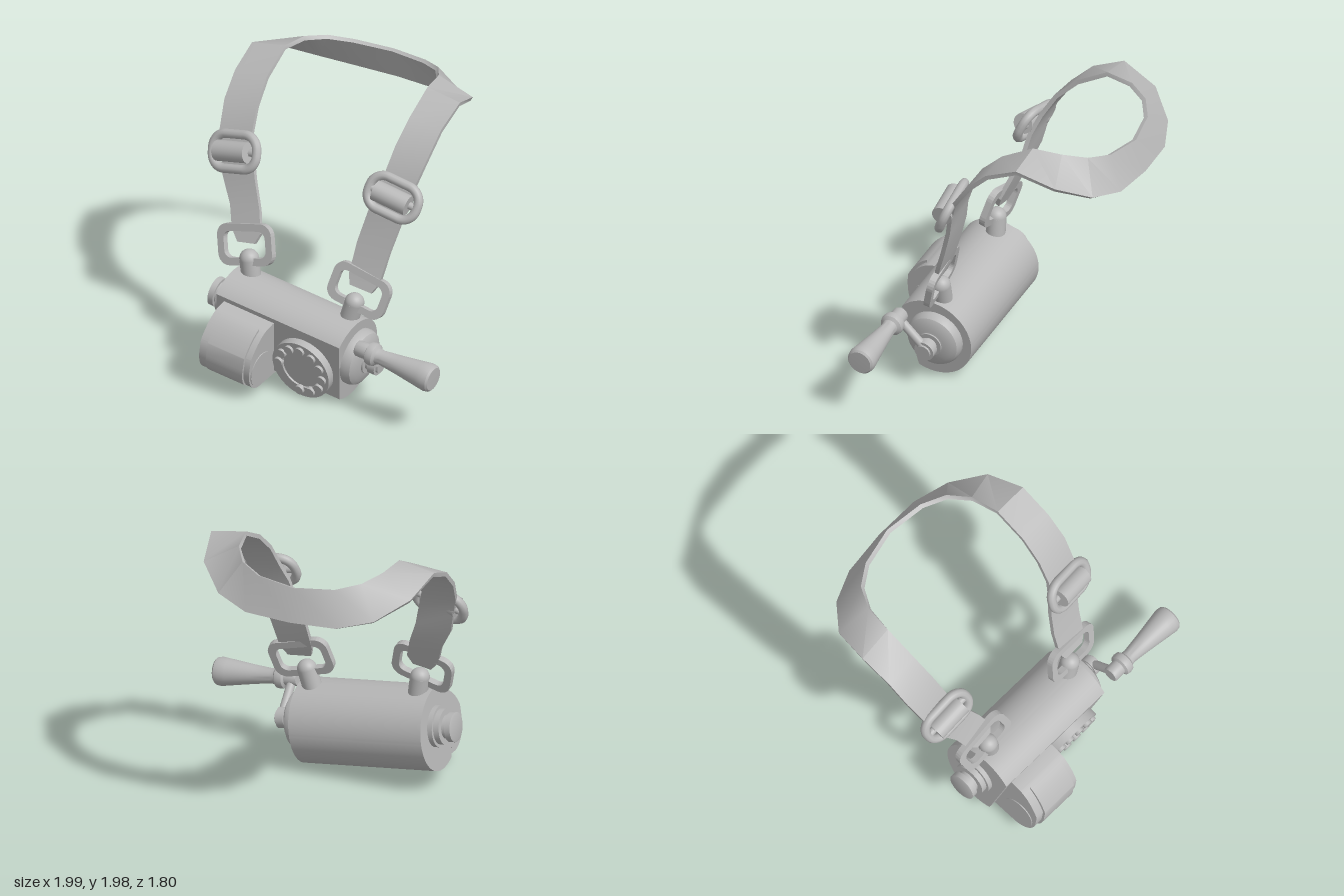
import * as THREE from 'three';
import { toCreasedNormals } from 'three/addons/utils/BufferGeometryUtils.js';

const grey = new THREE.MeshStandardMaterial({ color: 0xb8b8b8 });
grey.name = 'plain grey';

const V = (x, y, z) => new THREE.Vector3(x, y, z);

function add(parent, name, geometry, position = [0, 0, 0], rotation = [0, 0, 0]) {
  const mesh = new THREE.Mesh(geometry, grey);
  mesh.name = name;
  mesh.position.set(...position);
  mesh.rotation.set(...rotation);
  parent.add(mesh);
  return mesh;
}

// turned part: pairs of [radius, height]
function turned(profile, sides = 32) {
  const pts = profile.map(([r, h]) => new THREE.Vector2(r, h));
  return toCreasedNormals(new THREE.LatheGeometry(pts, sides), 0.6);
}

// side profile (z, y) pulled to a width along x, centred
function sideExtrude(shape, width) {
  const g = new THREE.ExtrudeGeometry(shape, { depth: width, bevelEnabled: false, curveSegments: 48 });
  g.translate(0, 0, -width / 2);
  g.rotateY(-Math.PI / 2);
  return toCreasedNormals(g, 0.5);
}

function rod(parent, name, a, b, radius) {
  const dir = b.clone().sub(a);
  const mesh = add(parent, name, new THREE.CylinderGeometry(radius, radius, dir.length(), 24));
  mesh.position.copy(a).addScaledVector(dir, 0.5);
  mesh.quaternion.setFromUnitVectors(V(0, 1, 0), dir.normalize());
  return mesh;
}

function roundedRect(w, h, r, Type = THREE.Shape) {
  const x = w / 2, y = h / 2, q = Math.PI / 2, s = new Type();
  s.absarc(x - r, y - r, r, 0, q);
  s.absarc(r - x, y - r, r, q, 2 * q);
  s.absarc(r - x, r - y, r, 2 * q, 3 * q);
  s.absarc(x - r, r - y, r, 3 * q, 4 * q);
  s.closePath();
  return s;
}

// flat band swept through stations of [inner edge, outer edge]
function strapGeometry(stations, thickness) {
  const mids = stations.map(([a, b]) => a.clone().add(b).multiplyScalar(0.5));
  const pos = [], index = [], last = stations.length - 1;
  stations.forEach(([a, b], i) => {
    const t = mids[Math.min(i + 1, last)].clone().sub(mids[Math.max(i - 1, 0)]);
    const n = t.cross(b.clone().sub(a)).setLength(thickness / 2);
    const ring = [a.clone().add(n), b.clone().add(n), b.clone().sub(n), a.clone().sub(n)];
    ring.forEach((p) => pos.push(p.x, p.y, p.z));
    if (i === last) return;
    for (let k = 0; k < 4; k++) {
      const p = i * 4 + k, q = i * 4 + (k + 1) % 4;
      index.push(p, p + 4, q, q, p + 4, q + 4);
    }
  });
  const e = last * 4;
  index.push(0, 1, 2, 0, 2, 3, e, e + 2, e + 1, e, e + 3, e + 2);
  const g = new THREE.BufferGeometry();
  g.setAttribute('position', new THREE.Float32BufferAttribute(pos, 3));
  g.setIndex(index);
  return toCreasedNormals(g, 0.5);
}

function buildStrap(root) {
  const cx = -0.185;
  // half strap from the middle of the neck to the buckle: inner x,y,z, outer x,y,z
  const half = [
    [0.27, 1.90, -0.77, 0.32, 1.67, -0.87],
    [0.42, 1.93, -0.68, 0.55, 1.72, -0.78],
    [0.51, 1.96, -0.54, 0.735, 1.83, -0.60],
    [0.545, 1.97, -0.35, 0.795, 1.925, -0.35],
    [0.545, 1.85, -0.13, 0.79, 1.83, -0.13],
    [0.53, 1.71, 0.02, 0.78, 1.69, 0.02],
    [0.51, 1.55, 0.12, 0.75, 1.53, 0.13],
    [0.465, 1.41, 0.18, 0.71, 1.39, 0.18],
    [0.43, 1.27, 0.21, 0.68, 1.25, 0.21],
  ];
  // lower ends of each side
  const leftEnd = [
    [0.36, 1.10, 0.27, 0.585, 1.08, 0.27],
    [0.315, 0.96, 0.33, 0.535, 0.94, 0.33],
    [0.345, 0.89, 0.36, 0.475, 0.87, 0.36],
  ];
  const rightEnd = [
    [0.39, 1.08, 0.27, 0.635, 1.06, 0.27],
    [0.37, 0.87, 0.34, 0.60, 0.85, 0.34],
    [0.39, 0.80, 0.37, 0.555, 0.78, 0.37],
  ];
  const station = (s) => ([a, b, c, d, e, f]) => [V(cx + s * a, b, c), V(cx + s * d, e, f)];
  const path = [
    ...[...half, ...leftEnd].reverse().map(station(-1)),
    [V(cx, 1.885, -0.82), V(cx, 1.665, -0.89)],
    ...[...half, ...rightEnd].map(station(1)),
  ];
  add(root, 'neckStrap', strapGeometry(path, 0.03));
}

function buildBuckle(root, side, x) {
  const g = new THREE.Group();
  g.name = 'buckle';
  g.position.set(x, 1.44, 0.21);
  g.rotation.set(-0.4, side * 0.15, -side * 0.24, 'YXZ');
  const pts = roundedRect(0.36, 0.23, 0.1, THREE.Path).getSpacedPoints(40).slice(0, -1);
  const curve = new THREE.CatmullRomCurve3(pts.map((p) => V(p.x, p.y, 0)), true);
  add(g, 'buckleFrame', new THREE.TubeGeometry(curve, 64, 0.032, 10, true));
  add(g, 'buckleRoller', new THREE.CylinderGeometry(0.07, 0.07, 0.25, 24), [0, 0, 0.02], [0, 0, Math.PI / 2]);
  rod(g, 'bucklePin', V(-0.18, 0, 0), V(0.18, 0, 0), 0.025);
  root.add(g);
}

// chamfered link joining strap and post
function buildLink(root, side, x, y) {
  const shape = roundedRect(0.43, 0.28, 0.08);
  shape.holes.push(roundedRect(0.33, 0.18, 0.05, THREE.Path));
  const g = new THREE.ExtrudeGeometry(shape, { depth: 0.045, bevelEnabled: false, curveSegments: 3 });
  g.translate(0, 0, -0.022);
  add(root, 'strapLink', g, [x, y, 0.365], [-0.25, side * 0.08, -side * 0.24]);
}

function buildDial(body) {
  const dial = new THREE.Group();
  dial.name = 'dial';
  dial.position.set(0.214, -0.094, 0.154);
  dial.rotation.x = 0.21;
  const plate = turned([[0, -0.01], [0.22, -0.01], [0.22, 0.055], [0.145, 0.055], [0.14, 0.045], [0, 0.045]], 48);
  add(dial, 'dialPlate', plate, [0, 0, 0], [Math.PI / 2, 0, 0]);
  for (const deg of [173, 142, 114, 84, 53, 22, -8, -38, -68, -98]) {
    const a = THREE.MathUtils.degToRad(deg + 7);
    add(dial, 'dialButton', new THREE.CylinderGeometry(0.033, 0.033, 0.03, 20),
      [0.168 * Math.cos(a), 0.168 * Math.sin(a), 0.06], [Math.PI / 2, 0, 0]);
  }
  body.add(dial);
}

function buildBody(root) {
  const body = new THREE.Group();
  body.name = 'body';
  body.position.set(-0.21, 0.352, 0.425);
  body.rotation.set(0, -0.02, -0.133);

  // drum with a flat front
  const drum = new THREE.Shape();
  drum.absarc(0, 0, 0.285, -0.21 + 0.93, -0.21 - 0.93 + Math.PI * 2);
  drum.closePath();
  add(body, 'drum', sideExtrude(drum, 0.963));

  // front housing with a rounded underside and a raised cover
  const housing = new THREE.Shape();
  housing.moveTo(0.08, -0.28);
  housing.lineTo(0.30, -0.295);
  housing.bezierCurveTo(0.40, -0.29, 0.455, -0.2, 0.455, -0.11);
  housing.lineTo(0.455, -0.03);
  housing.bezierCurveTo(0.43, 0.03, 0.36, 0.12, 0.29, 0.14);
  housing.lineTo(0.22, 0.155);
  housing.lineTo(0.08, 0.155);
  housing.closePath();
  add(body, 'housing', sideExtrude(housing, 0.39), [-0.225, 0, 0]);
  const cover = new THREE.Shape();
  cover.moveTo(0.32, -0.27);
  cover.bezierCurveTo(0.42, -0.29, 0.472, -0.2, 0.472, -0.11);
  cover.lineTo(0.472, -0.02);
  cover.bezierCurveTo(0.44, 0.045, 0.38, 0.12, 0.32, 0.145);
  cover.closePath();
  add(body, 'housingCover', sideExtrude(cover, 0.285), [-0.215, 0, 0]);
  for (const s of [-1, 1]) {
    add(body, 'housingEndDisc', new THREE.CylinderGeometry(0.12, 0.12, 0.008, 32),
      [-0.225 + s * 0.197, -0.15, 0.31], [0, 0, Math.PI / 2]);
  }
  buildDial(body);

  // stepped knob at one end, domed cap and hub at the other
  const knob = [[0.14, 0], [0.14, 0.035], [0.12, 0.035], [0.12, 0.075], [0.08, 0.075],
    [0.08, 0.105], [0.1, 0.105], [0.1, 0.145], [0.085, 0.15], [0, 0.15]];
  add(body, 'endKnob', turned(knob), [-0.48, 0.03, -0.035], [0, 0, Math.PI / 2]);
  const cap = [[0.195, 0], [0.195, 0.035], [0.182, 0.065], [0.15, 0.085], [0.1, 0.092], [0.085, 0.095],
    [0.085, 0.105], [0.055, 0.105], [0.055, 0.13], [0.07, 0.13], [0.07, 0.185], [0.05, 0.185], [0.05, 0.2], [0, 0.2]];
  add(body, 'endCap', turned(cap), [0.48, 0.015, -0.03], [0, 0, -Math.PI / 2]);
  root.add(body);
}

function buildCrank(root) {
  rod(root, 'crankArm', V(0.435, 0.29, 0.40), V(0.44, 0.48, 0.60), 0.03);
  const grip = [[0, 0], [0.05, 0], [0.055, 0.01], [0.055, 0.085], [0.075, 0.095], [0.08, 0.12], [0.075, 0.145],
    [0.055, 0.16], [0.05, 0.19], [0.065, 0.32], [0.09, 0.5], [0.097, 0.55], [0.092, 0.58], [0.08, 0.592], [0, 0.594]];
  add(root, 'crankHandle', turned(grip), [0.40, 0.49, 0.60], [0, -0.02, -Math.PI / 2 - 0.11]);
}

export function createModel() {
  const root = new THREE.Group();
  root.name = 'strappedDevice';
  buildStrap(root);
  buildBuckle(root, -1, -0.78);
  buildBuckle(root, 1, 0.435);
  buildLink(root, -1, -0.595, 0.87);
  buildLink(root, 1, 0.275, 0.775);
  // round-topped posts holding the links
  for (const [a, b] of [
    [V(-0.545, 0.62, 0.38), V(-0.565, 0.78, 0.38)],
    [V(0.2, 0.53, 0.39), V(0.245, 0.685, 0.385)],
  ]) {
    rod(root, 'post', a, b, 0.066);
    add(root, 'postTop', new THREE.SphereGeometry(0.066, 24, 16), b.toArray());
  }
  buildBody(root);
  buildCrank(root);
  return root;
}
